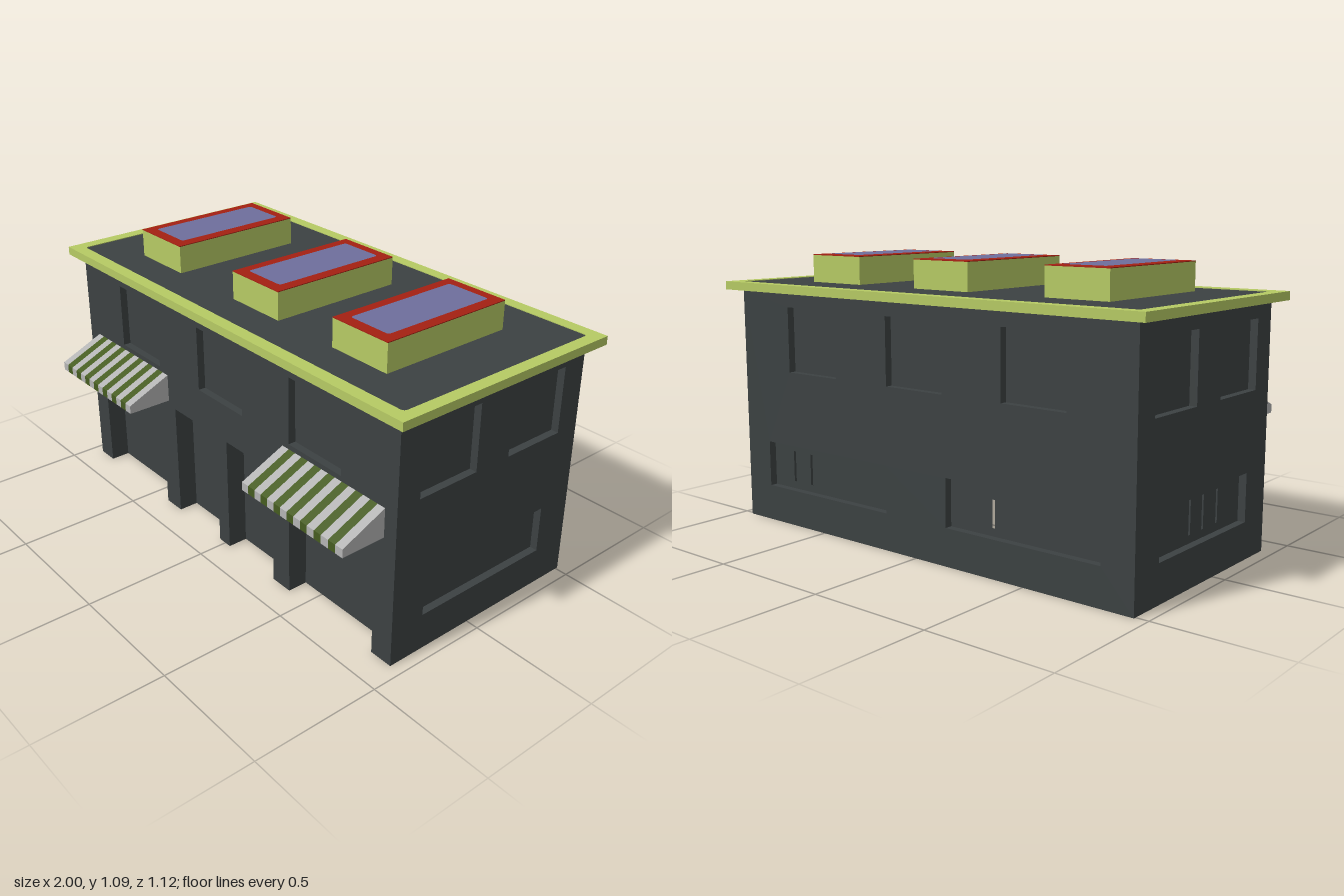
import * as THREE from 'three';

const mat = (name, color) => {
  const m = new THREE.MeshStandardMaterial({ color });
  m.name = name;
  return m;
};

export function createModel() {
  const model = new THREE.Group();
  model.name = 'building';

  const wallGrey = mat('wallGrey', 0x3c4142);
  wallGrey.side = THREE.DoubleSide;
  const lime = mat('limeTrim', 0xb6ca64);
  const red = mat('redFrame', 0xa42012);
  const glass = mat('lavenderGlass', 0x6e6e9c);
  const canvas = mat('paleCanvas', 0xb4b4b4);
  const green = mat('greenCanvas', 0x465c20);

  const add = (parent, name, geometry, material) => {
    const mesh = new THREE.Mesh(geometry, material);
    mesh.name = name;
    parent.add(mesh);
    return mesh;
  };
  // box given by its low and high corners
  const box = (parent, name, material, x0, x1, y0, y1, z0, z1) => {
    const g = new THREE.BoxGeometry(x1 - x0, y1 - y0, z1 - z0);
    return add(parent, name, g.translate((x0 + x1) / 2, (y0 + y1) / 2, (z0 + z1) / 2), material);
  };
  const rectPath = (x0, x1, y0, y1, Type = THREE.Path) => new Type([
    new THREE.Vector2(x0, y0), new THREE.Vector2(x1, y0),
    new THREE.Vector2(x1, y1), new THREE.Vector2(x0, y1)]);
  const roundRect = (x0, x1, y0, y1, r, Type = THREE.Path) => {
    const p = new Type();
    p.absarc(x1 - r, y0 + r, r, -Math.PI / 2, 0);
    p.absarc(x1 - r, y1 - r, r, 0, Math.PI / 2);
    p.absarc(x0 + r, y1 - r, r, Math.PI / 2, Math.PI);
    p.absarc(x0 + r, y0 + r, r, Math.PI, Math.PI * 1.5);
    p.closePath();
    return p;
  };

  // box shell with the listed faces left out (0..5 = +x -x +y -y +z -z)
  const shell = (x0, x1, y0, y1, depth, omit) => {
    const g = new THREE.BoxGeometry(x1 - x0, y1 - y0, depth);
    g.translate((x0 + x1) / 2, (y0 + y1) / 2, -depth / 2);
    const index = Array.from(g.index.array).filter((v, i) => !omit.includes(Math.floor(i / 6)));
    g.setIndex(index);
    g.clearGroups();
    return g;
  };

  // thin wall with window holes, door bays open to the ground and inward recesses
  const H = 0.95;
  function wall(name, x0, x1, windows, bays = []) {
    const group = new THREE.Group();
    group.name = name;
    const pts = [[x0, 0]];
    for (const [a, b, top] of bays) pts.push([a, 0], [a, top], [b, top], [b, 0]);
    pts.push([x1, 0], [x1, H], [x0, H]);
    const shape = new THREE.Shape(pts.map(p => new THREE.Vector2(...p)));
    for (const [a, b, y0, y1, slits = []] of windows) {
      shape.holes.push(rectPath(a, b, y0, y1));
      add(group, 'windowRecess', shell(a, b, y0, y1, 0.03, slits.length ? [4, 5] : [4]), wallGrey);
      if (slits.length) {
        const pane = rectPath(a, b, y0, y1, THREE.Shape);
        for (const s of slits) pane.holes.push(rectPath(s - 0.006, s + 0.006, y0 + 0.03, y1 - 0.03));
        add(group, 'slottedPane', new THREE.ShapeGeometry(pane).translate(0, 0, -0.03), wallGrey);
      }
    }
    for (const [a, b, top] of bays) {
      add(group, 'doorBay', shell(a, b, 0, top, 0.08, [3, 4]), wallGrey);
    }
    add(group, 'wallFace', new THREE.ShapeGeometry(shape), wallGrey);
    model.add(group);
    return group;
  }

  const upper = [[-0.68, -0.41], [-0.14, 0.135], [0.405, 0.68]].map(w => [...w, 0.63, 0.89]);
  wall('frontWall', -0.95, 0.95, upper,
    [[-0.86, -0.41, 0.475], [-0.315, -0.035, 0.475], [0.03, 0.31, 0.475], [0.405, 0.855, 0.475]])
    .position.z = 0.38;

  const back = wall('backWall', -0.95, 0.95, [...upper,
    [-0.82, -0.15, 0.145, 0.33, [-0.7, -0.6]], [0.15, 0.82, 0.145, 0.33, [0.35]]]);
  back.rotation.y = Math.PI;
  back.position.z = -0.51;

  // side walls: local x runs along -z on the right and +z on the left
  const sideWindows = (s, slits) => [[-0.28, -0.015], [0.145, 0.41]]
    .map(w => [...w, 0.63, 0.89]).concat([[-0.235, 0.365, 0.145, 0.33, slits]])
    .map(([a, b, ...rest]) => s > 0 ? [a, b, ...rest] : [-b, -a, ...rest]);
  const sidePlusX = wall('leftWall', -0.38, 0.51, sideWindows(1));
  sidePlusX.rotation.y = Math.PI / 2;
  sidePlusX.position.x = 0.95;
  const sideMinusX = wall('rightWall', -0.51, 0.38, sideWindows(-1, [-0.12, -0.03, 0.07]));
  sideMinusX.rotation.y = -Math.PI / 2;
  sideMinusX.position.x = -0.95;

  // roof rim with the dark deck set in it (shape y becomes -z)
  const rim = rectPath(-1, 1, -0.425, 0.56, THREE.Shape);
  rim.holes.push(roundRect(-0.95, 0.95, -0.373, 0.512, 0.015));
  const rimGeo = new THREE.ExtrudeGeometry(rim, { depth: 0.033, bevelEnabled: false, curveSegments: 4 });
  add(model, 'roofRim', rimGeo.rotateX(-Math.PI / 2).translate(0, 0.948, 0), lime);
  const deck = roundRect(-0.95, 0.95, -0.373, 0.512, 0.015, THREE.Shape);
  const deckGeo = new THREE.ExtrudeGeometry(deck, { depth: 0.028, bevelEnabled: false, curveSegments: 4 });
  add(model, 'roofDeck', deckGeo.rotateX(-Math.PI / 2).translate(0, 0.95, 0), wallGrey);

  // three skylights
  for (const x of [-0.583, 0.032, 0.593]) {
    const skylight = new THREE.Group();
    skylight.name = 'skylight';
    skylight.position.x = x;
    box(skylight, 'skylightCurb', lime, -0.134, 0.134, 0.97, 1.087, -0.327, 0.232);
    box(skylight, 'skylightFrame', red, -0.134, 0.134, 1.087, 1.09, -0.327, 0.232);
    const pane = roundRect(-0.092, 0.092, -0.19, 0.287, 0.012, THREE.Shape);
    const paneGeo = new THREE.ShapeGeometry(pane, 4).rotateX(-Math.PI / 2).translate(0, 1.092, 0);
    add(skylight, 'skylightPane', paneGeo, glass);
    model.add(skylight);
  }

  // striped awnings: fifteen wedge slices each
  const profile = new THREE.Shape([[-0.38, 0.497], [-0.38, 0.61], [-0.56, 0.53], [-0.56, 0.497]]
    .map(p => new THREE.Vector2(...p)));
  const count = 15, width = 0.524 / count;
  for (const start of [-0.882, 0.37]) {
    const awning = new THREE.Group();
    awning.name = 'awning';
    for (let i = 0; i < count; i++) {
      const g = new THREE.ExtrudeGeometry(profile, { depth: width, bevelEnabled: false });
      g.rotateY(Math.PI / 2).translate(start + i * width, 0, 0);
      add(awning, 'awningStripe', g, i % 2 ? green : canvas);
    }
    model.add(awning);
  }

  return model;
}
